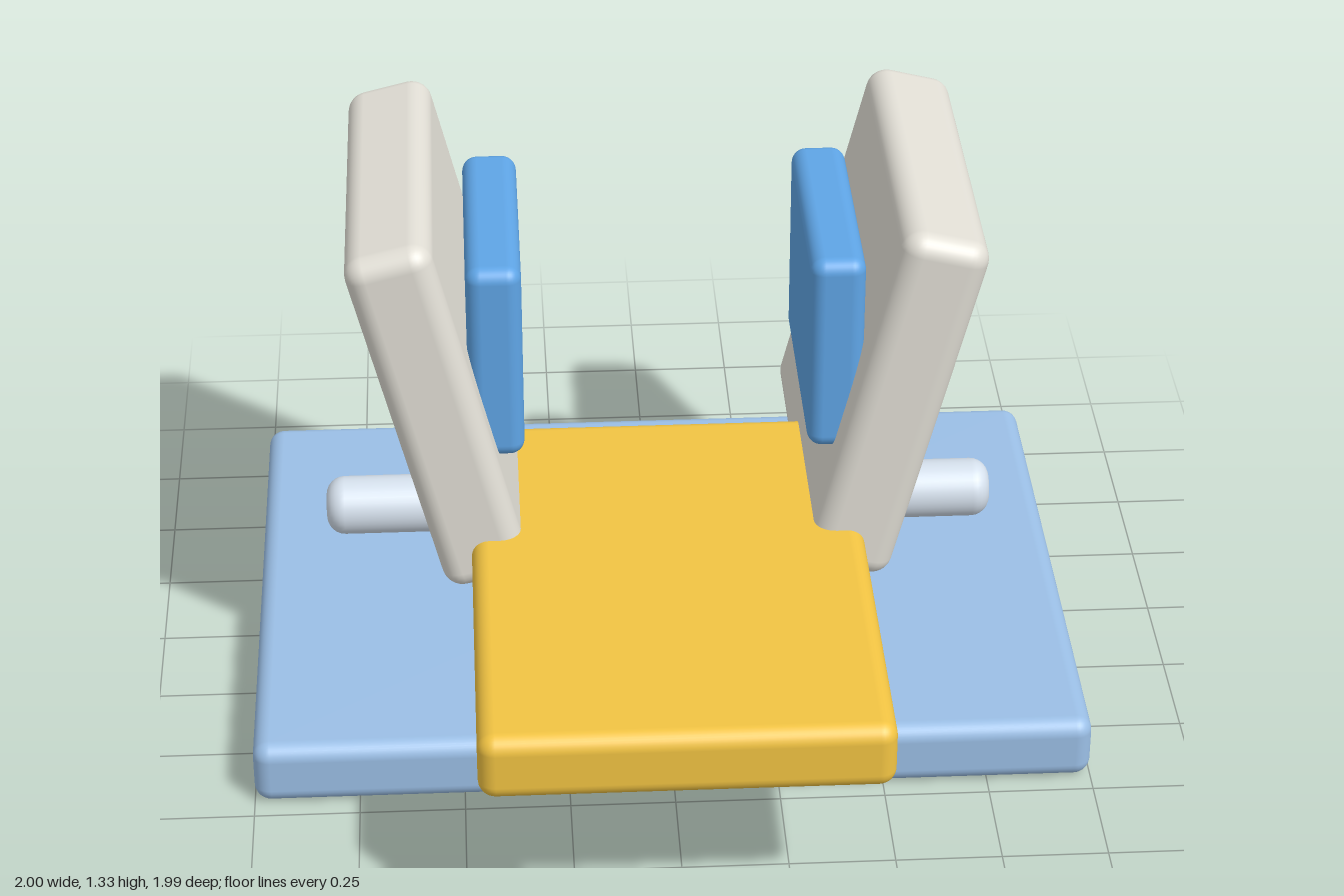
import * as THREE from 'three';
import { RoundedBoxGeometry } from 'three/addons/geometries/RoundedBoxGeometry.js';

const mat = (color) => new THREE.MeshStandardMaterial({ color });

// Rounded block given its size, centre and edge radius
function block(name, size, centre, radius, material) {
  const mesh = new THREE.Mesh(new RoundedBoxGeometry(...size, 4, radius), material);
  mesh.name = name;
  mesh.position.set(...centre);
  return mesh;
}

export function createModel() {
  const model = new THREE.Group();
  model.name = 'restraintSeat';
  const baseMat = mat(0x9bbfe6), seatMat = mat(0xf2c443), rodMat = mat(0xd5e0ec);
  const wingMat = mat(0xe2dfd6), padMat = mat(0x5fa5e6);

  // Floor plate and the seat board that overhangs it at the front
  model.add(block('basePlate', [2, 0.16, 1.46], [0, 0.08, -0.27], 0.04, baseMat));
  model.add(block('seatBoard', [0.935, 0.165, 1.335], [0, 0.47, 0.325], 0.04, seatMat));

  // Cross rod with rounded ends
  const R = 0.072, L = 0.825, b = 0.045;
  const profile = [new THREE.Vector2(0, -L)];
  for (let i = 0; i <= 6; i++) {
    const a = (i / 6) * Math.PI / 2;
    profile.push(new THREE.Vector2(R - b + b * Math.sin(a), -L + b - b * Math.cos(a)));
  }
  for (let i = profile.length - 1; i >= 0; i--) {
    profile.push(new THREE.Vector2(profile[i].x, -profile[i].y));
  }
  const rod = new THREE.Mesh(new THREE.LatheGeometry(profile, 32), rodMat);
  rod.name = 'crossRod';
  rod.rotation.z = Math.PI / 2;
  rod.position.set(0, 0.376, -0.265);
  model.add(rod);

  // Outward leaning side panels with an upright pad inside each
  for (const [side, s] of [['left', 1], ['right', -1]]) {
    const wing = block(side + 'SidePanel', [0.209, 0.924, 0.905], [s * 0.537, 0.872, -0.267], 0.05, wingMat);
    wing.rotation.z = -s * 0.244;
    model.add(wing);
    model.add(block(side + 'Pad', [0.13, 0.505, 0.6], [s * 0.4, 0.978, -0.203], 0.035, padMat));
  }
  return model;
}
